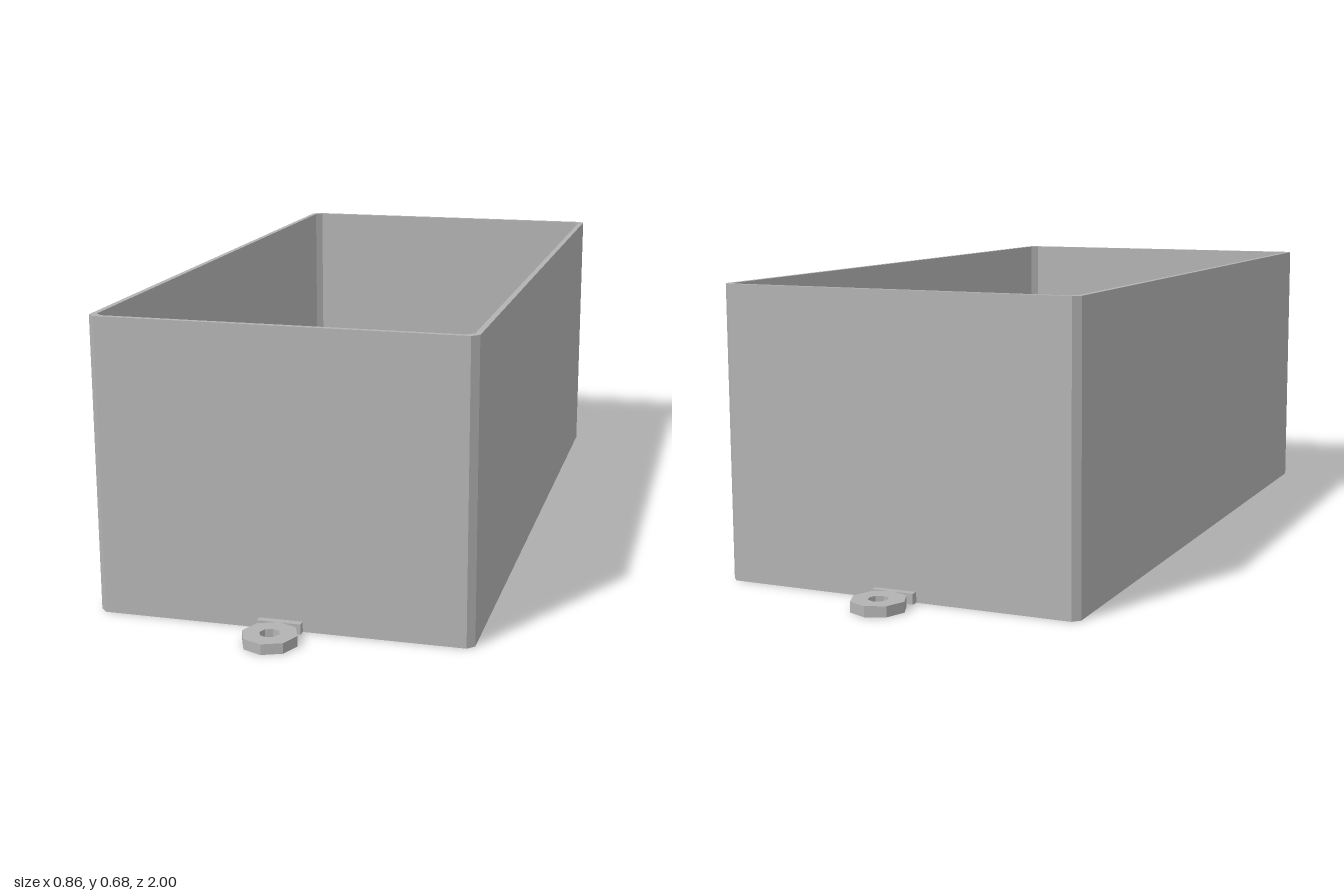
import * as THREE from 'three';

const grey = new THREE.MeshStandardMaterial({ color: 0xb3b3b3 });
grey.name = 'plain grey';

const WIDTH = 0.86, LENGTH = 1.72, HEIGHT = 0.68;
const WALL = 0.013, CHAMFER = 0.016, TAB = 0.024;

// Corner points of a rectangle with its corners cut off
function chamferedRect(w, l, c) {
  const x = w / 2, z = l / 2;
  return [
    [x, -z + c], [x, z - c], [x - c, z], [-x + c, z],
    [-x, z - c], [-x, -z + c], [-x + c, -z], [x - c, -z],
  ].map(([a, b]) => new THREE.Vector2(a, b));
}

function polygon(radius, sides) {
  return Array.from({ length: sides }, (_, i) => {
    const a = (i / sides) * Math.PI * 2;
    return new THREE.Vector2(radius * Math.cos(a), radius * Math.sin(a));
  });
}

// Upright prism standing on y = 0, with an optional hole
function prism(outer, hole, height) {
  const shape = new THREE.Shape(outer);
  if (hole) shape.holes.push(new THREE.Path(hole));
  const geometry = new THREE.ExtrudeGeometry(shape, { depth: height, bevelEnabled: false });
  return geometry.rotateX(-Math.PI / 2);
}

function add(parent, name, geometry, x = 0, y = 0, z = 0) {
  const mesh = new THREE.Mesh(geometry, grey);
  mesh.name = name;
  mesh.position.set(x, y, z);
  parent.add(mesh);
}

export function createModel() {
  const model = new THREE.Group();
  model.name = 'openBox';

  // Open box: floor plate and a thin wall around it
  const outer = chamferedRect(WIDTH, LENGTH, CHAMFER);
  const inner = chamferedRect(WIDTH - 2 * WALL, LENGTH - 2 * WALL, CHAMFER);
  add(model, 'walls', prism(outer, inner, HEIGHT));
  add(model, 'floor', prism(inner, null, WALL));

  for (const side of [1, -1]) {
    // Low hexagonal standoffs along the left side of the floor
    add(model, 'standoff', prism(polygon(0.038, 6), null, 0.04), 0.315, WALL, side * 0.75);

    // Mounting lug: octagonal eyelet joined to the wall by a small bar
    const lug = new THREE.Group();
    lug.name = side > 0 ? 'frontLug' : 'backLug';
    add(lug, 'eyelet', prism(polygon(0.0625, 8), polygon(0.023, 8), TAB), 0, 0, side * 0.9375);
    add(lug, 'bar', new THREE.BoxGeometry(0.1, TAB, 0.018), 0, TAB / 2, side * 0.868);
    model.add(lug);
  }
  return model;
}
